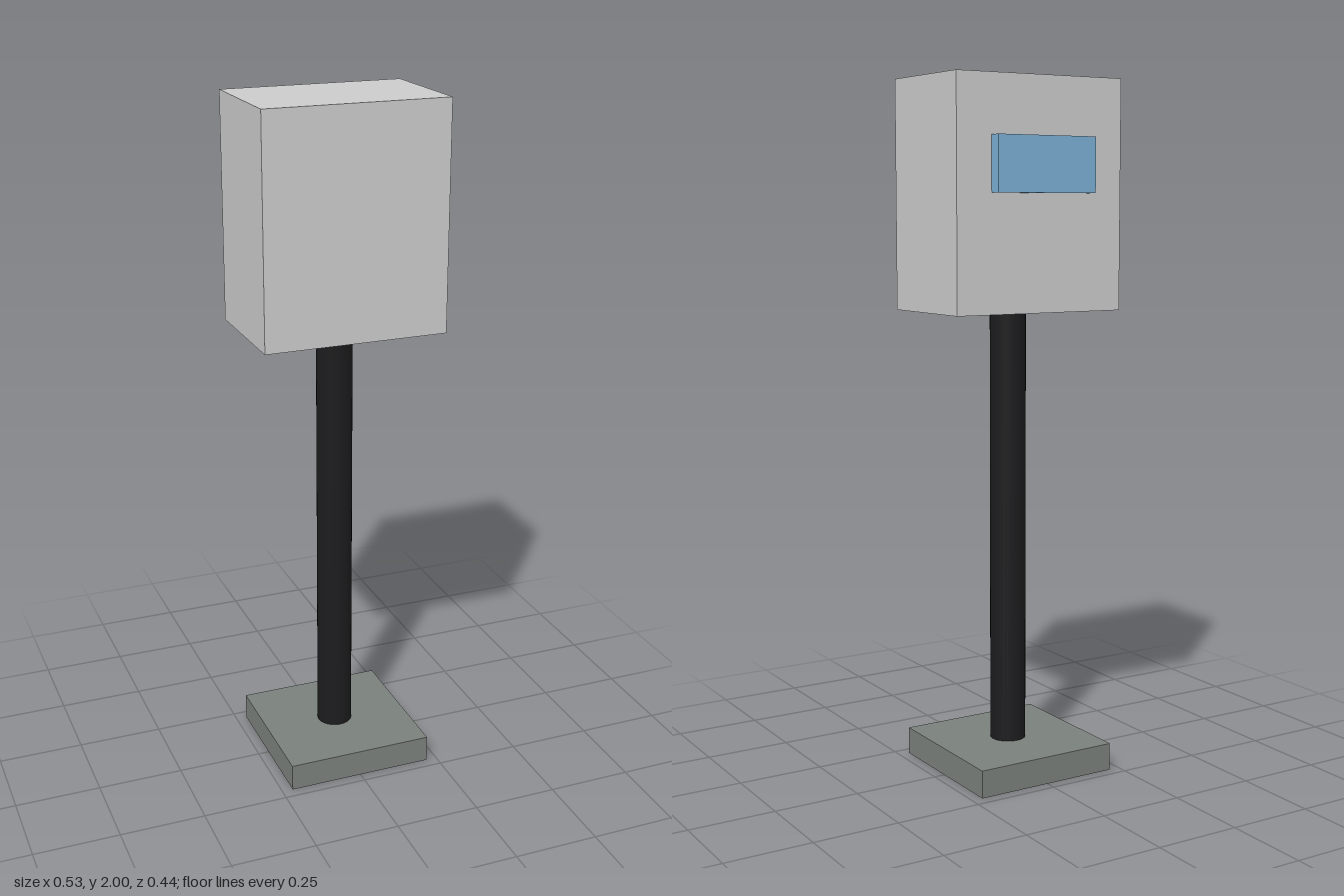
import * as THREE from 'three';

export function createModel() {
  const model = new THREE.Group();

  const add = (name, geometry, color, x, y, z) => {
    const mesh = new THREE.Mesh(geometry, new THREE.MeshStandardMaterial({ color }));
    mesh.name = name;
    mesh.position.set(x, y, z);
    model.add(mesh);
    return mesh;
  };

  const poleRadius = 0.052;
  const baseHalf = 0.218;
  const baseHeight = 0.08;
  const boxBottom = 1.35;

  // Square foot plate with a hole that the pole passes through
  const plate = new THREE.Shape([
    new THREE.Vector2(-baseHalf, -baseHalf),
    new THREE.Vector2(baseHalf, -baseHalf),
    new THREE.Vector2(baseHalf, baseHalf),
    new THREE.Vector2(-baseHalf, baseHalf),
  ]);
  plate.holes.push(new THREE.Path().absarc(0, 0, poleRadius, 0, Math.PI * 2, true));
  const plateGeometry = new THREE.ExtrudeGeometry(plate, {
    depth: baseHeight, bevelEnabled: false, curveSegments: 32,
  });
  plateGeometry.rotateX(-Math.PI / 2);
  add('base', plateGeometry, 0x7a807b, 0, 0, 0);

  // Round pole from the ground to the underside of the box
  add('pole', new THREE.CylinderGeometry(poleRadius, poleRadius, boxBottom, 32), 0x1c1c1e, 0, boxBottom / 2, 0);

  // Main housing
  add('housing', new THREE.BoxGeometry(0.534, 2 - boxBottom, 0.348), 0xcccccc, 0, (2 + boxBottom) / 2, 0);

  // Raised panel on the back of the housing
  add('backPanel', new THREE.BoxGeometry(0.316, 0.155, 0.036), 0x7ab0d4, 0, 1.758, -0.192);

  return model;
}
